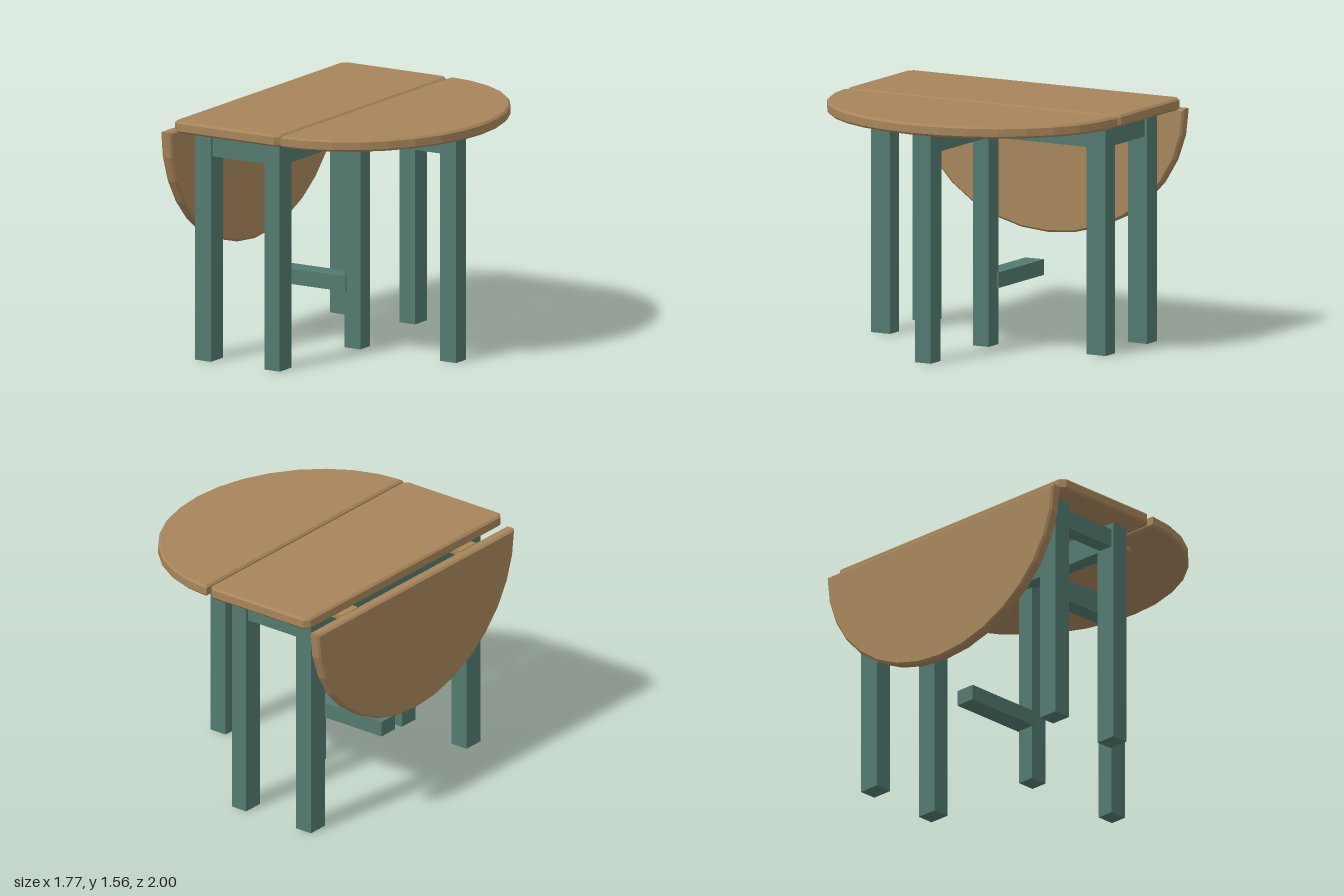
import * as THREE from 'three';

const material = (color) => new THREE.MeshStandardMaterial({ color, flatShading: true });

export function createModel() {
  const table = new THREE.Group();
  table.name = 'dropLeafTable';
  const wood = material(0xa8855b);
  const paint = material(0x527a70);
  const cleatWood = material(0xa58a55);

  const add = (name, geometry, mat) => {
    const mesh = new THREE.Mesh(geometry, mat);
    mesh.name = name;
    table.add(mesh);
    return mesh;
  };

  // Box given by its min and max along each axis
  const box = (name, [x0, x1], [y0, y1], [z0, z1], mat = paint) =>
    add(name, new THREE.BoxGeometry(x1 - x0, y1 - y0, z1 - z0), mat)
      .position.set((x0 + x1) / 2, (y0 + y1) / 2, (z0 + z1) / 2);

  // Horizontal board with chamfered edges, lying on y = 0
  const thickness = 0.075;
  const bevel = 0.013;
  const board = (points) => {
    const shape = new THREE.Shape(points.map(([x, y]) => new THREE.Vector2(x, y)));
    return new THREE.ExtrudeGeometry(shape, {
      depth: thickness - 2 * bevel,
      bevelEnabled: true, bevelThickness: bevel, bevelSize: bevel,
      bevelOffset: -bevel, bevelSegments: 1,
    }).translate(0, 0, bevel).rotateX(-Math.PI / 2);
  };

  // Fixed centre top with clipped corners
  const [x0, x1, cut] = [-0.8, -0.005, 0.035];
  add('centreTop', board([
    [x0 + cut, -1], [x1 - cut, -1], [x1, -1 + cut], [x1, 1 - cut],
    [x1 - cut, 1], [x0 + cut, 1], [x0, 1 - cut], [x0, -1 + cut],
  ]), wood).position.y = 1.485;

  // Half-oval leaves: one raised, one hanging
  const arc = [];
  for (let i = 0; i <= 16; i++) {
    const a = -Math.PI / 2 + (i / 16) * Math.PI;
    arc.push([0.875 * Math.cos(a), Math.sin(a)]);
  }
  const leaf = board(arc);
  add('raisedLeaf', leaf, wood).position.set(0.01, 1.485, 0);
  const hanging = add('hangingLeaf', leaf, wood);
  hanging.rotation.z = -Math.PI / 2;
  hanging.position.set(-0.89, 1.48, 0);

  // Fixed frame: corner legs, end rails, long aprons
  const height = 1.485;
  for (const s of [-1, 1]) {
    const span = (a, b) => (s > 0 ? [a, b] : [-b, -a]);
    box('cornerLeg', [-0.72, -0.6], [0, height], span(0.72, 0.86));
    box('cornerLeg', [-0.2, -0.085], [0, height], span(0.72, 0.86));
    box('endRail', [-0.62, -0.18], [1.325, 1.445], span(0.74, 0.84));
    // Cleats under the leaf joints
    box('leafCleat', [-0.14, 0.14], [1.455, height - 0.001], span(0.52, 0.68), cleatWood);
    box('leafCleat', [-0.83, -0.7], [1.45, height - 0.001], span(0.52, 0.68), cleatWood);
  }
  for (const x of [-0.66, -0.14]) {
    box('longApron', [x - 0.05, x + 0.05], [1.325, height], [-0.73, 0.73]);
  }

  // Swing gate that carries the raised leaf
  box('gatePivotPost', [-0.115, 0.005], [0, height], [-0.057, 0.057]);
  box('gateLeg', [0.6, 0.72], [0, height], [-0.057, 0.057]);
  box('gateRail', [-0.01, 0.61], [1.34, height - 0.001], [-0.055, 0.055]);

  // Low stretcher behind the gate post
  box('stretcher', [-0.66, -0.1], [0.362, 0.462], [-0.068, 0.068]);

  return table;
}
